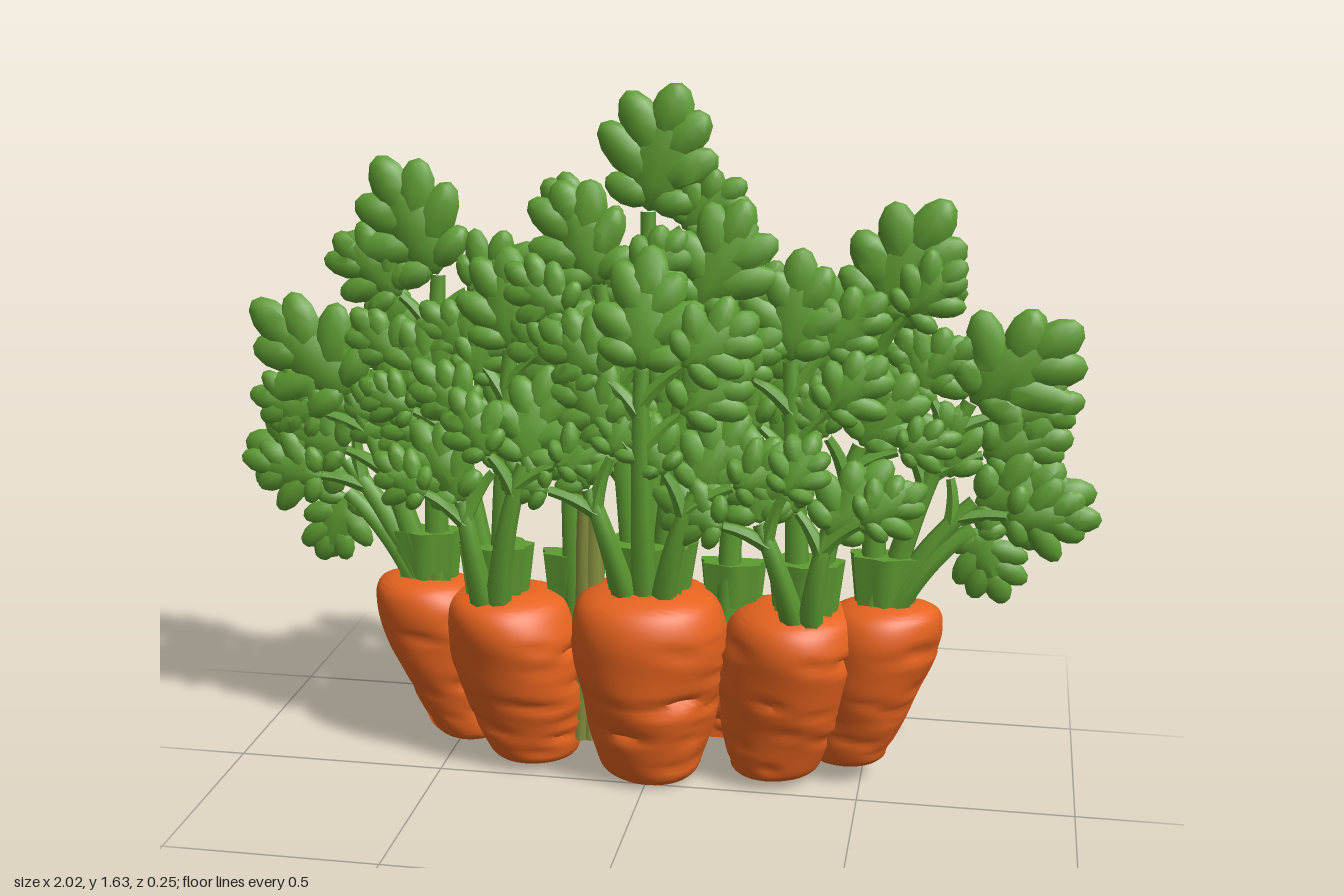
import * as THREE from 'three';
import { mergeGeometries, toCreasedNormals } from 'three/addons/utils/BufferGeometryUtils.js';

const BACK = -0.13; // flat back plane of the relief
const V = (x, y, z) => new THREE.Vector3(x, y, z);
const orange = new THREE.MeshStandardMaterial({ color: 0xe6631f });
orange.name = 'carrotOrange';
const green = new THREE.MeshStandardMaterial({ color: 0x5e9c32 });
green.name = 'leafGreen';
const olive = new THREE.MeshStandardMaterial({ color: 0x8c9440 });
olive.name = 'stemOlive';

let seed = 7;
const rnd = () => (seed = (seed * 16807) % 2147483647) / 2147483647;

// Press everything behind the back plane flat against it
function flattenBack(geo) {
  const p = geo.attributes.position;
  for (let i = 0; i < p.count; i++) if (p.getZ(i) < BACK) p.setZ(i, BACK);
  return toCreasedNormals(geo, 0.95);
}

function named(name, geo, material) {
  const mesh = new THREE.Mesh(geo, material);
  mesh.name = name;
  return mesh;
}

// Carrot root: leaning lathe with short horizontal dents
const profile = new THREE.SplineCurve([
  [0, 0.02], [0.38, 0], [0.6, 0.025], [0.71, 0.12], [0.9, 0.43], [1, 0.7], [0.97, 0.84], [0.84, 0.94], [0.58, 0.99],
  [0.3, 1], [0, 0.98],
].map(([x, y]) => new THREE.Vector2(x, y))).getSpacedPoints(72);
profile.forEach(p => { p.x = Math.max(p.x, 0); });

function carrot({ name, bottom, top, r, y0, y1, z }) {
  const geo = new THREE.LatheGeometry(profile, 48);
  const dents = Array.from({ length: 18 }, () => ({
    a: (rnd() - 0.5) * 3, t: 0.08 + rnd() * 0.75, w: 0.18 + rnd() * 0.25, d: 0.035 + rnd() * 0.05,
  }));
  const p = geo.attributes.position;
  for (let i = 0; i < p.count; i++) {
    const x = p.getX(i), t = p.getY(i), zz = p.getZ(i), a = Math.atan2(x, zz);
    let k = r * (1 + 0.025 * Math.sin(3 * a + 5 * t + top * 9) + 0.012 * Math.sin(17 * t + 2 * a));
    for (const d of dents) {
      k -= r * d.d * Math.exp(-(((a - d.a) / d.w) ** 2) - ((t - d.t) / 0.025) ** 2);
    }
    p.setXYZ(i, bottom + (top - bottom) * t + x * k,
      y0 + (y1 - y0) * t, z - 0.035 * (1 - t) + zz * k);
  }
  return named(name, flattenBack(geo), orange);
}

// Leaf lobes: start height on midrib, angle, length, width (for a leaf of length 1)
const lobes = [[0, 0, 0.85, 0.46], [0.5, 0.08, 0.5, 0.32]];
for (const s of [-1, 1]) {
  lobes.push([0.4, s * 0.6, 0.52, 0.31], [0.22, s * 0.98, 0.56, 0.3], [0.08, s * 1.35, 0.38, 0.24]);
}

// Broad lobed leaf; leaves further forward droop back at the tip
function leaf(parts, base, angle, size) {
  for (const [start, a, len, w] of lobes) {
    const l = len * (0.9 + rnd() * 0.2);
    const g = new THREE.SphereGeometry(0.5, 8, 6);
    g.scale(w * size, l * size, Math.max(0.04, size * 0.19));
    g.translate(0, l * size * 0.5, 0);
    g.rotateZ(-a + (rnd() - 0.5) * 0.2);
    g.translate(0, start * size, 0);
    g.rotateX(-1.4 * (base.z - BACK));
    g.rotateZ(angle);
    g.translate(base.x, base.y, base.z);
    parts.push(g);
  }
}

// Stem that narrows towards its end
function stem(parts, curve, r, steps, sides) {
  const g = new THREE.TubeGeometry(curve, steps, r, sides);
  const p = g.attributes.position;
  for (let i = 0; i < p.count; i++) {
    const t = Math.floor(i / (sides + 1)) / steps;
    const c = curve.getPointAt(t), v = V().fromBufferAttribute(p, i);
    v.sub(c).multiplyScalar(1 - 0.45 * t).add(c);
    p.setXYZ(i, v.x, v.y, v.z);
  }
  parts.push(g);
}

// Frond: curved stem, end leaf from base to tip, and pairs of side leaflets
function frond(root, base, tip) {
  const parts = [];
  const bend = V(root.x + (base.x - root.x) * 0.35, root.y + (base.y - root.y) * 0.6, base.z + 0.02);
  const curve = new THREE.QuadraticBezierCurve3(root, bend, base);
  stem(parts, curve, 0.032, 12, 7);
  const dx = tip.x - base.x, dy = tip.y - base.y, size = Math.hypot(dx, dy);
  leaf(parts, base, Math.atan2(-dx, dy), size);
  const pairs = Math.min(3, Math.floor((base.y - root.y) * 4.2));
  for (let i = 0; i < pairs; i++) {
    for (const s of [-1, 1]) {
      const t = 0.84 - i * 0.22 - (s > 0 ? 0.06 : 0);
      const from = curve.getPoint(t), d = curve.getTangent(t);
      const a = Math.atan2(-d.x, d.y) + s * (0.62 + rnd() * 0.2);
      const reach = 0.1 + rnd() * 0.03;
      const to = V(from.x - Math.sin(a) * reach, from.y + Math.cos(a) * reach, from.z + (rnd() - 0.55) * 0.05);
      const mid = from.clone().lerp(to, 0.5).addScaledVector(d, 0.015);
      stem(parts, new THREE.QuadraticBezierCurve3(from, mid, to), 0.02, 4, 6);
      leaf(parts, to, a + s * 0.12, Math.min(0.2, size * 0.75) * (0.9 + rnd() * 0.2));
    }
  }
  return flattenBack(mergeGeometries(parts));
}

// Solid bunch of stalks where the fronds leave the carrot
function bunch(x, y, z, r) {
  const geo = new THREE.CylinderGeometry(r * 1.25, r, 0.15, 20, 3);
  const p = geo.attributes.position;
  for (let i = 0; i < p.count; i++) {
    const k = 1 + 0.1 * Math.cos(7 * Math.atan2(p.getX(i), p.getZ(i)));
    p.setXYZ(i, x + p.getX(i) * k, y + 0.05 + p.getY(i), z + p.getZ(i) * k * 0.65);
  }
  return named('stalkBunch', flattenBack(geo), green);
}

export function createModel() {
  const model = new THREE.Group();
  model.name = 'carrotRow';

  // Carrot roots
  const roots = new THREE.Group();
  roots.name = 'carrots';
  roots.add(carrot({ name: 'centreCarrot', bottom: 0, top: 0, r: 0.186, y0: 0.01, y1: 0.495, z: -0.052 }));
  for (const [side, s] of [['left', 1], ['right', -1]]) {
    roots.add(
      carrot({ name: side + 'InnerCarrot', bottom: s * 0.29, top: s * 0.345, r: 0.166, y0: 0.025, y1: 0.46, z: -0.078 }),
      carrot({ name: side + 'OuterCarrot', bottom: s * 0.46, top: s * 0.555, r: 0.142, y0: 0.05, y1: 0.47, z: -0.125 }),
      carrot({ name: side + 'BackCarrot', bottom: s * 0.185, top: s * 0.185, r: 0.13, y0: 0.085, y1: 0.42, z: -0.18 }),
    );
  }
  model.add(roots);

  // Pale stalks showing in the gap between roots
  const stalks = [];
  for (const x of [-0.17, -0.145]) {
    stem(stalks, new THREE.LineCurve3(V(x, 0.08, -0.1), V(x + 0.02, 0.72, -0.05)), 0.03, 4, 8);
  }
  model.add(named('gapStalks', flattenBack(mergeGeometries(stalks)), olive));

  // Foliage: each frond grows from its root in one of three depth layers
  const foliage = new THREE.Group();
  foliage.name = 'foliage';
  const depth = { back: [-0.09, -0.103], middle: [-0.05, -0.055], front: [0.0, 0.045] };
  const addFrond = (name, layer, [rx, ry], [bx, by], [tx, ty], s = 1, rise = 0) => {
    const [rz, bz] = depth[layer];
    const z = bz + (rnd() - 0.5) * 0.024;
    foliage.add(named(name, frond(V(s * rx, ry, rz), V(s * bx, by + rise, z), V(s * tx, ty + rise, z)), green));
  };
  addFrond('tallCentreFrond', 'back', [0, 0.46], [-0.01, 1.36], [0.05, 1.66]);
  addFrond('frontCentreFrond', 'front', [0, 0.46], [0, 1.03], [0.01, 1.3]);
  foliage.add(bunch(0, 0.48, -0.04, 0.09));

  // Mirrored fronds; rise lifts or lowers the left one
  for (const [side, s] of [['left', 1], ['right', -1]]) {
    const pair = (name, layer, root, base, tip, rise = 0) =>
      addFrond(side + name, layer, root, base, tip, s, s > 0 ? rise : 0);
    pair('OuterDroopFrond', 'back', [0.56, 0.44], [0.74, 0.66], [0.82, 0.48]);
    pair('OuterLowFrond', 'back', [0.55, 0.43], [0.74, 0.74], [1, 0.77], -0.02);
    pair('OuterMidFrond', 'back', [0.54, 0.43], [0.72, 0.91], [0.95, 1.11], 0.04);
    pair('OuterTallFrond', 'back', [0.52, 0.43], [0.5, 1.2], [0.65, 1.46], -0.06);
    pair('InnerSideFrond', 'middle', [0.38, 0.42], [0.48, 0.92], [0.6, 1.09], -0.07);
    pair('InnerTallFrond', 'middle', [0.35, 0.42], [0.32, 1.04], [0.34, 1.29]);
    pair('InnerLowFrond', 'front', [0.38, 0.42], [0.42, 0.7], [0.55, 0.87], -0.03);
    pair('InnerNearFrond', 'front', [0.35, 0.42], [0.27, 0.8], [0.22, 1.02], -0.11);
    pair('CentreTallFrond', 'middle', [0.03, 0.46], [0.11, 1.2], [0.22, 1.44], -0.05);
    pair('CentreLowFrond', 'front', [0.04, 0.46], [0.12, 0.75], [0.23, 0.93]);
    pair('GapFrond', 'back', [0.18, 0.38], [0.2, 0.95], [0.21, 1.17]);
    foliage.add(
      bunch(s * 0.365, 0.45, -0.05, 0.07),
      bunch(s * 0.545, 0.46, -0.1, 0.065),
      bunch(s * 0.19, 0.42, -0.11, 0.06),
    );
  }
  model.add(foliage);
  return model;
}
